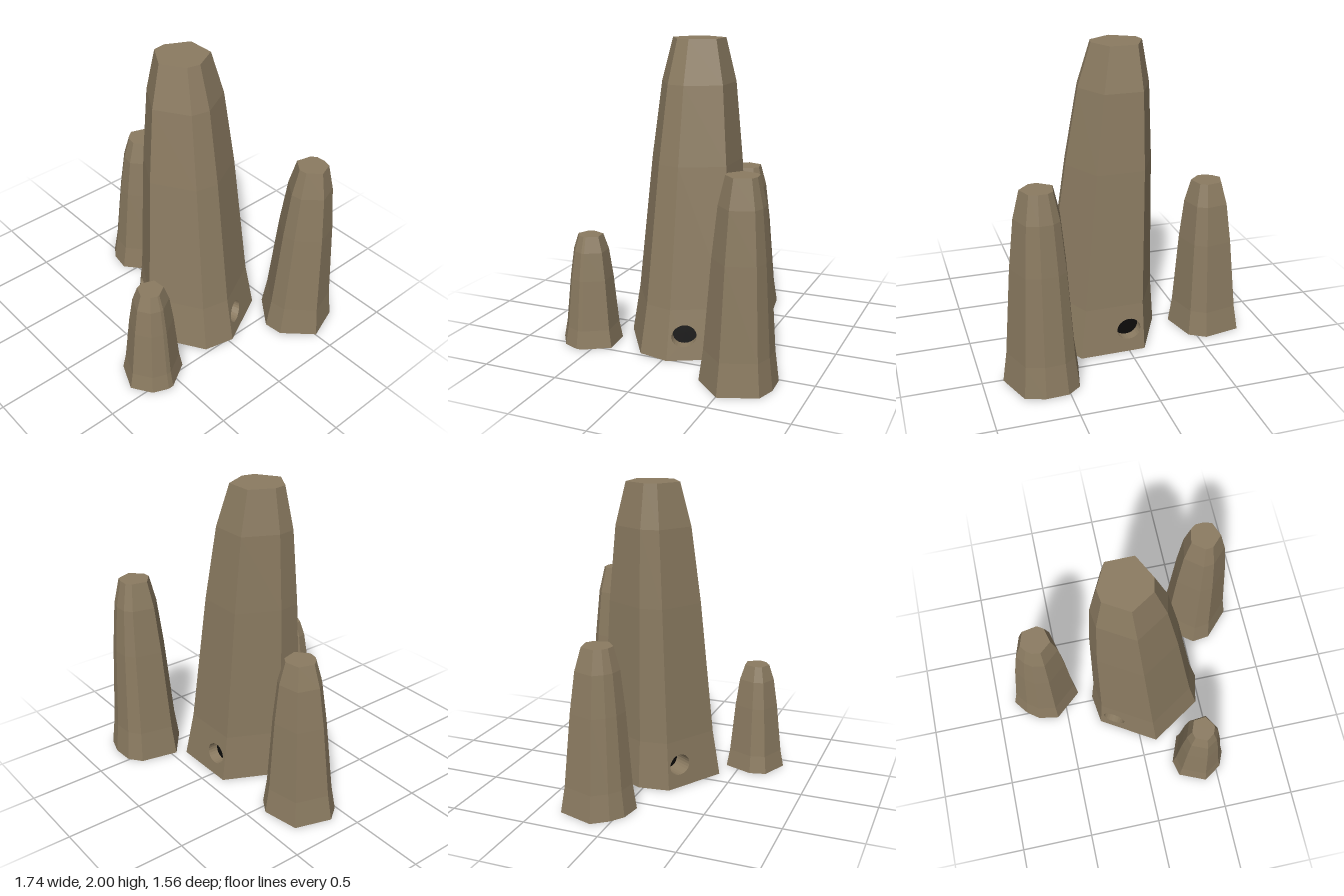
import * as THREE from 'three';

// Shared taper: [fraction of height, scale of base outline]
const PROFILE = [[0, 1], [0.16, 0.89], [0.61, 0.72], [0.86, 0.585], [1, 0.415]];

function meshFrom(points, material, name) {
  const g = new THREE.BufferGeometry().setFromPoints(points);
  g.computeVertexNormals();
  const m = new THREE.Mesh(g, material);
  m.name = name;
  return m;
}

function average(points) {
  const c = new THREE.Vector3();
  points.forEach((p) => c.add(p));
  return c.divideScalar(points.length);
}

// Irregular leaning mound, with optional tunnel openings in its lowest band
function mound(name, { height, centre, lean, outline, holes = [] }, earth, dark) {
  const group = new THREE.Group();
  group.name = name;
  const rings = PROFILE.map(([t, s]) => outline.map(([x, z]) => new THREE.Vector3(
    centre[0] + lean[0] * t + (x - centre[0]) * s,
    height * t,
    centre[1] + lean[1] * t + (z - centre[1]) * s)));
  const n = outline.length;
  const tris = [];

  for (let r = 0; r < rings.length - 1; r++) {
    for (let i = 0; i < n; i++) {
      const j = (i + 1) % n;
      const a = rings[r][i], b = rings[r][j], c = rings[r + 1][j], d = rings[r + 1][i];
      const hole = r === 0 && holes.find((h) => h.side === i);
      if (hole) addTunnel(hole, a, b, c, d);
      else tris.push(a, d, c, a, c, b);
    }
  }

  // Flat top and underside
  const top = rings[rings.length - 1], base = rings[0];
  const topMid = average(top), baseMid = average(base);
  for (let i = 0; i < n; i++) {
    const j = (i + 1) % n;
    tris.push(topMid, top[j], top[i], baseMid, base[i], base[j]);
  }

  // Wall panel with a round opening, a short tunnel and a dark end
  function addTunnel({ u, depth }, a, b, c, d) {
    const onWall = (p) => b.clone().lerp(a, p.x).lerp(c.clone().lerp(d, p.x), p.y);
    const width = (a.distanceTo(b) + c.distanceTo(d)) / 2;
    const rx = 0.08 / width, ry = 0.069 / c.y;
    const shape = new THREE.Shape([[0, 0], [1, 0], [1, 1], [0, 1]]
      .map(([x, y]) => new THREE.Vector2(x, y)));
    const path = new THREE.Path();
    path.absellipse(u, 0.48, rx, ry, 0, Math.PI * 2, true);
    shape.holes.push(path);
    const flat = new THREE.ShapeGeometry(shape, 12).toNonIndexed().attributes.position;
    for (let k = 0; k < flat.count; k++) {
      tris.push(onWall(new THREE.Vector2(flat.getX(k), flat.getY(k))));
    }

    const rim = [];
    for (let k = 0; k < 24; k++) {
      const t = k / 24 * Math.PI * 2;
      rim.push(onWall(new THREE.Vector2(u + rx * Math.cos(t), 0.48 + ry * Math.sin(t))));
    }
    const inward = new THREE.Vector3(...depth);
    const far = rim.map((p) => p.clone().add(inward));
    const mid = average(far);
    const wall = [], end = [];
    rim.forEach((p, k) => {
      const l = (k + 1) % rim.length;
      wall.push(p, rim[l], far[l], p, far[l], far[k]);
      end.push(mid, far[k], far[l]);
    });
    group.add(meshFrom(wall, earth, 'tunnelWall'), meshFrom(end, dark, 'tunnelEnd'));
  }

  group.add(meshFrom(tris, earth, 'moundBody'));
  return group;
}

export function createModel() {
  const earth = new THREE.MeshStandardMaterial({ color: 0x8b7b61 });
  earth.name = 'dryEarth';
  const dark = new THREE.MeshStandardMaterial({ color: 0x0a0908 });
  dark.name = 'tunnelDark';

  const model = new THREE.Group();
  model.name = 'earthMounds';

  model.add(mound('mainMound', {
    height: 2, centre: [0.115, 0], lean: [-0.137, -0.015],
    outline: [[-0.105, -0.4], [0.33, -0.405], [0.52, -0.03], [0.473, 0.175],
      [0.114, 0.403], [-0.263, 0.175], [-0.291, -0.03]],
    holes: [
      { side: 0, u: 0.75, depth: [0, 0, 0.07] },
      { side: 1, u: 0.254, depth: [-0.067, 0, 0.02] },
      { side: 4, u: 0.24, depth: [0.07, 0, -0.115] },
    ],
  }, earth, dark));

  model.add(mound('rightMound', {
    height: 1.06, centre: [-0.63, -0.157], lean: [0.02, -0.005],
    outline: [[-0.8, -0.345], [-0.555, -0.39], [-0.45, -0.325], [-0.388, -0.085],
      [-0.574, 0.077], [-0.715, 0.053], [-0.8, -0.01], [-0.875, -0.11]],
  }, earth, dark));

  model.add(mound('backLeftMound', {
    height: 1.285, centre: [0.618, -0.545], lean: [0.01, -0.02],
    outline: [[0.425, -0.71], [0.51, -0.775], [0.655, -0.782], [0.78, -0.742],
      [0.867, -0.505], [0.695, -0.323], [0.57, -0.308], [0.37, -0.463]],
  }, earth, dark));

  model.add(mound('frontLeftMound', {
    height: 0.735, centre: [0.387, 0.582], lean: [-0.006, -0.005],
    outline: [[0.27, 0.407], [0.472, 0.388], [0.575, 0.556], [0.575, 0.593],
      [0.533, 0.695], [0.407, 0.778], [0.225, 0.7], [0.198, 0.593]],
  }, earth, dark));

  return model;
}
